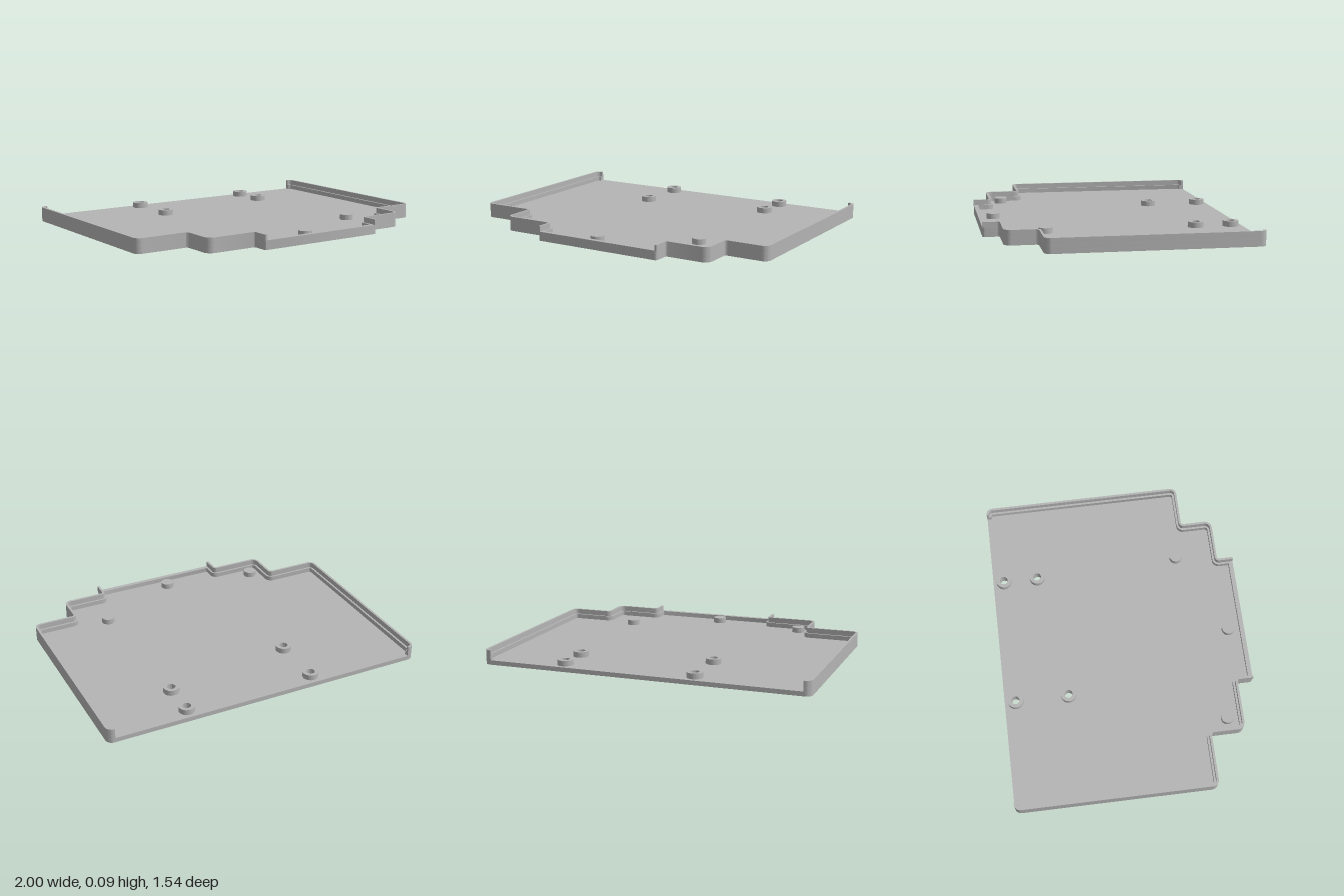
import * as THREE from 'three';
import { toCreasedNormals } from 'three/addons/utils/BufferGeometryUtils.js';

const FLOOR = 0.027, LEDGE = 0.055, TOP = 0.088, BOSS = 0.06;
const WALL = 0.027, LIP = 0.014;

// Outline as [x, z, corner radius], running from the back on the left side round the front
const leftSide = [
  [0.955, -0.772, 0], [1, -0.772, 0.04], [1, 0.475, 0.04], [0.735, 0.475, 0.015],
  [0.735, 0.67, 0.045], [0.465, 0.67, 0.012],
];
const rightSide = [
  [-0.355, 0.67, 0.012], [-0.67, 0.67, 0.045], [-0.67, 0.46, 0.015],
  [-1, 0.46, 0.04], [-1, -0.772, 0.04], [-0.955, -0.772, 0],
];
const outline = [...leftSide, [0.465, 0.77, 0.015], [-0.355, 0.77, 0.015], ...rightSide];

// Right-angled path moved inwards by d, with rounded corners
function roundedPath(corners, d = 0) {
  const p = corners.map(([x, z]) => new THREE.Vector2(x, z));
  const edges = p.slice(1).map((q, i) => q.clone().sub(p[i]).normalize());
  const inward = (e) => new THREE.Vector2(-e.y, e.x);
  const last = p.length - 1;
  const path = [];
  p.forEach((point, i) => {
    const a = edges[i - 1], b = edges[i];
    const q = point.clone();
    if (a) q.addScaledVector(inward(a), d);
    if (b) q.addScaledVector(inward(b), d);
    if (i === 0 || i === last) {
      path.push(q);
      return;
    }
    const convex = a.cross(b) > 0;
    const r = Math.max(corners[i][2] + (convex ? -d : d), 0.004);
    const centre = q.clone().addScaledVector(a, -r).addScaledVector(b, r);
    for (let k = 0; k <= 8; k++) {
      const t = (k / 8) * Math.PI / 2;
      path.push(centre.clone()
        .addScaledVector(b, -r * Math.cos(t))
        .addScaledVector(a, r * Math.sin(t)));
    }
  });
  return path;
}

// Strip of wall between the outline and its inset copy
const strip = (corners, d) =>
  new THREE.Shape([...roundedPath(corners), ...roundedPath(corners, d).reverse()]);

export function createModel() {
  const group = new THREE.Group();
  const grey = new THREE.MeshStandardMaterial({ color: 0xb4b4b4 });
  grey.name = 'grey plastic';

  // Plan shape raised between two heights
  function slab(name, shape, bottom, top) {
    const geometry = new THREE.ExtrudeGeometry(shape, {
      depth: top - bottom, bevelEnabled: false, curveSegments: 24,
    });
    geometry.rotateX(Math.PI / 2).translate(0, top, 0);
    const mesh = new THREE.Mesh(toCreasedNormals(geometry, 0.6), grey);
    mesh.name = name;
    group.add(mesh);
  }
  const hole = (x, z) => new THREE.Path().absarc(x, z, 0.025, 0, Math.PI * 2, true);
  const disc = (x, z, r) => new THREE.Shape().absarc(x, z, r, 0, Math.PI * 2, false);

  const screwSpots = [[-0.31, -0.703], [0.495, -0.703], [0.495, -0.49], [-0.31, -0.375]];
  const pegSpots = [[0.53, 0.412], [-0.575, 0.577], [0, 0.672]];

  // Floor with screw holes
  const floor = new THREE.Shape(roundedPath(outline));
  screwSpots.forEach(([x, z]) => floor.holes.push(hole(x, z)));
  slab('floor', floor, 0, FLOOR);

  // Thick lower wall, open at the back
  slab('lowerWall', strip(outline, WALL), FLOOR, LEDGE);

  // Thin upper lips, leaving the front tab open
  slab('leftLip', strip([...leftSide, [0.465, 0.77, 0]], LIP), LEDGE, TOP);
  slab('rightLip', strip([[-0.355, 0.77, 0], ...rightSide], LIP), LEDGE, TOP);

  // Hollow screw bosses and solid support pegs
  screwSpots.forEach(([x, z], i) => {
    const ring = disc(x, z, 0.047);
    ring.holes.push(hole(x, z));
    slab(`screwBoss${i + 1}`, ring, FLOOR, BOSS);
  });
  pegSpots.forEach(([x, z], i) => slab(`supportPeg${i + 1}`, disc(x, z, 0.04), FLOOR, BOSS));

  return group;
}
